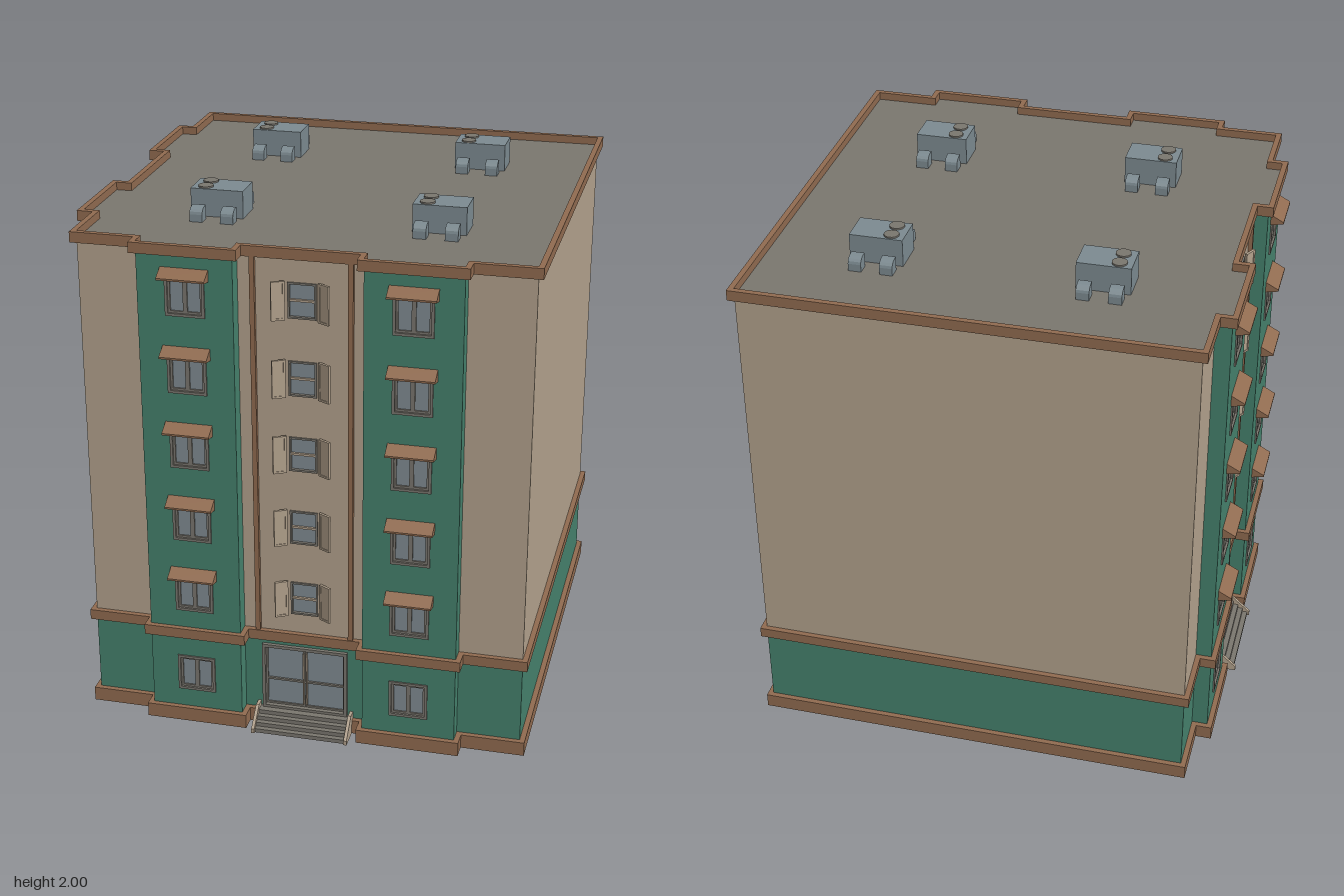
import * as THREE from 'three';

const mat = (name, color, side = THREE.FrontSide) => {
  const m = new THREE.MeshStandardMaterial({ color, side });
  m.name = name;
  return m;
};
const GREEN = mat('green paint', 0x45806c, THREE.DoubleSide);
const BEIGE = mat('beige plaster', 0xb2a18c, THREE.DoubleSide);
const BROWN = mat('brown trim', 0x906b50);
const GREY = mat('warm grey', 0x7a766e, THREE.DoubleSide);
const GLASS = mat('glass', 0x808b92, THREE.DoubleSide);
const METAL = mat('blue grey metal', 0x7c8a90);

function add(parent, name, geo, material, x = 0, y = 0, z = 0) {
  const m = new THREE.Mesh(geo, material);
  m.name = name;
  m.position.set(x, y, z);
  parent.add(m);
  return m;
}
const box = (parent, name, material, w, h, d, x, y, z) =>
  add(parent, name, new THREE.BoxGeometry(w, h, d), material, x, y, z);

const rect = (x0, x1, y0, y1, Type = THREE.Shape) =>
  new Type([[x0, y0], [x1, y0], [x1, y1], [x0, y1]].map(p => new THREE.Vector2(...p)));

// flat wall with rectangular openings [centreX, centreY, width, height]
function panel(parent, name, material, x0, x1, y0, y1, z, holes = []) {
  const s = rect(x0, x1, y0, y1);
  for (const [x, y, w, h] of holes)
    s.holes.push(rect(x - w / 2, x + w / 2, y - h / 2, y + h / 2, THREE.Path));
  return add(parent, name, new THREE.ShapeGeometry(s), material, 0, 0, z);
}

// rectangular frame of bar width t
function frame(parent, name, material, w, h, t, d, x, y, z) {
  const s = rect(-w / 2, w / 2, -h / 2, h / 2);
  s.holes.push(rect(t - w / 2, w / 2 - t, t - h / 2, h / 2 - t, THREE.Path));
  return add(parent, name, new THREE.ExtrudeGeometry(s, { depth: d, bevelEnabled: false }), material, x, y, z);
}

// side profile in (z, y), swept along x and centred
function prism(profile, width) {
  const s = new THREE.Shape(profile.map(p => new THREE.Vector2(...p)));
  return new THREE.ExtrudeGeometry(s, { depth: width, bevelEnabled: false })
    .rotateY(-Math.PI / 2).translate(width / 2, 0, 0);
}

const END = 0.825, BAY0 = 0.234, BAY1 = 0.586, BAY = 0.41, OUT = 0.06;
const SPLIT = 0.38, TOP = 1.89, WALL = 0.78, SHIFT = 0.045;
const FLOORS = [0, 1, 2, 3, 4].map(i => 0.545 + i * 0.295);

// footprint in (x, -z), counter-clockwise: two stepped facades and two plain sides
const STEPS = [[-END, 0], [-BAY1, 0], [-BAY1, OUT], [-BAY0, OUT], [-BAY0, 0],
  [BAY0, 0], [BAY0, OUT], [BAY1, OUT], [BAY1, 0], [END, 0]];
const FOOTPRINT = [
  ...STEPS.map(([u, d]) => new THREE.Vector2(u + SHIFT, -WALL - d)),
  new THREE.Vector2(0.87, 0.87),
  ...STEPS.slice(0, -1).map(([u, d]) => new THREE.Vector2(-WALL - d, SHIFT - u)),
].filter((p, i, a) => i === 0 || p.distanceTo(a[i - 1]) > 1e-4);

function outline(offset) {
  const n = FOOTPRINT.length;
  return FOOTPRINT.map((p, i) => {
    const a = p.clone().sub(FOOTPRINT[(i + n - 1) % n]).normalize();
    const b = FOOTPRINT[(i + 1) % n].clone().sub(p).normalize();
    return new THREE.Vector2(p.x + offset * (a.y + b.y), p.y - offset * (a.x + b.x));
  });
}

function trimRing(parent, name, y0, y1) {
  const s = new THREE.Shape(outline(0.02));
  s.holes.push(new THREE.Path(outline(-0.001)));
  const g = new THREE.ExtrudeGeometry(s, { depth: y1 - y0, bevelEnabled: false }).rotateX(-Math.PI / 2);
  add(parent, name, g, BROWN, 0, y0, 0);
}

function bayWindow(parent, x, y, z) {
  const g = new THREE.Group();
  g.name = 'bayWindow';
  g.position.set(x, y, z);
  parent.add(g);
  frame(g, 'windowFrame', GREY, 0.146, 0.146, 0.01, 0.02, 0, 0, -0.014);
  for (const s of [-1, 1]) frame(g, 'sash', GREY, 0.063, 0.126, 0.008, 0.01, s * 0.0315, 0, -0.012);
  panel(g, 'glass', GLASS, -0.065, 0.065, -0.065, 0.065, -0.008);
}

function shutterWindow(parent, y) {
  const g = new THREE.Group();
  g.name = 'shutterWindow';
  g.position.y = y;
  parent.add(g);
  frame(g, 'windowFrame', GREY, 0.104, 0.134, 0.007, 0.018, 0, 0, -0.012);
  panel(g, 'glass', GLASS, -0.047, 0.047, -0.062, 0.062, -0.006);
  box(g, 'middleRail', BEIGE, 0.092, 0.008, 0.01, 0, 0, -0.002);
  // shutters swung part way open
  for (const s of [-1, 1]) {
    const sh = new THREE.Group();
    sh.name = 'shutter';
    sh.position.set(s * 0.064, 0, 0.004);
    sh.rotation.y = -s * 0.5;
    g.add(sh);
    frame(sh, 'shutterFrame', BEIGE, 0.05, 0.145, 0.008, 0.01, s * 0.025, 0, 0);
    box(sh, 'shutterBoard', BEIGE, 0.036, 0.13, 0.005, s * 0.025, 0, 0.005);
  }
}

function entrance(parent) {
  const g = new THREE.Group();
  g.name = 'entrance';
  parent.add(g);
  frame(g, 'doorSurround', GREY, 0.33, 0.275, 0.012, 0.03, 0, 0.2, -0.016);
  panel(g, 'doorGlass', GLASS, -0.155, 0.155, 0.07, 0.33, -0.008);
  for (const s of [-1, 1]) {
    frame(g, 'doorLeaf', GREY, 0.152, 0.25, 0.007, 0.012, s * 0.077, 0.2, -0.014);
    box(g, 'doorHandle', BEIGE, 0.005, 0.22, 0.008, s * 0.006, 0.2, 0.002);
  }
  box(g, 'doorRail', GREY, 0.3, 0.008, 0.012, 0, 0.185, -0.006);
  for (let i = 0; i < 4; i++) {
    const d = 0.1 - i * 0.02;
    box(g, 'step', GREY, 0.35, 0.016, d, 0, 0.008 + i * 0.016, d / 2);
  }
  const side = prism([[0, 0], [0.108, 0], [0.108, 0.018], [0.035, 0.083], [0, 0.083]], 0.012);
  for (const s of [-1, 1]) add(g, 'stairSide', side, BEIGE, s * 0.18, 0, 0);
}

function facade(parent, name) {
  const g = new THREE.Group();
  g.name = name;
  parent.add(g);
  const awning = prism([[0, -0.022], [0.05, -0.012], [0.05, -0.005], [0, 0.022]], 0.176);
  for (const s of [-1, 1]) {
    const [a, b] = s < 0 ? [-END, -BAY1] : [BAY1, END];
    panel(g, 'lowerCornerWall', GREEN, a, b, 0, SPLIT, 0);
    panel(g, 'upperCornerWall', BEIGE, a, b, SPLIT, TOP, 0);
    // projecting bay with its cheeks
    const ys = [0.203, ...FLOORS.map(y => y + 0.0)];
    const [c, d] = s < 0 ? [-BAY1, -BAY0] : [BAY0, BAY1];
    panel(g, 'bayWall', GREEN, c, d, 0, TOP, OUT, ys.map(y => [s * BAY, y, 0.144, 0.144]));
    for (const x of [c, d])
      add(g, 'bayCheek', new THREE.PlaneGeometry(OUT, TOP), GREEN, x, TOP / 2, OUT / 2)
        .rotation.y = x === c ? -Math.PI / 2 : Math.PI / 2;
    ys.forEach(y => bayWindow(g, s * BAY, y, OUT));
    FLOORS.forEach(y => add(g, 'awning', awning, BROWN, s * BAY, y + 0.085, OUT));
    box(g, 'pilaster', BROWN, 0.018, TOP - 0.4, 0.016, s * 0.178, (TOP + 0.4) / 2, 0.008);
  }
  panel(g, 'entranceWall', GREEN, -BAY0, BAY0, 0, SPLIT, 0, [[0, 0.2, 0.328, 0.272]]);
  panel(g, 'middleWall', BEIGE, -BAY0, BAY0, SPLIT, TOP, 0, FLOORS.map(y => [0, y, 0.102, 0.132]));
  FLOORS.forEach(y => shutterWindow(g, y));
  entrance(g);
  return g;
}

function roofUnit(parent, x, z) {
  const g = new THREE.Group();
  g.name = 'roofUnit';
  g.position.set(x, TOP, z);
  parent.add(g);
  box(g, 'unitBody', METAL, 0.198, 0.104, 0.13, 0, 0.052, 0);
  for (const s of [-1, 1])
    add(g, 'fan', new THREE.CylinderGeometry(0.028, 0.028, 0.008, 16), GREY, -0.05, 0.106, s * 0.033);
  // hooded vents, rounded on the outer side
  const hood = [[0, 0], [0.047, 0], [0.047, 0.028]];
  for (let i = 1; i <= 4; i++) {
    const a = i * Math.PI / 8;
    hood.push([0.012 + 0.035 * Math.cos(a), 0.028 + 0.025 * Math.sin(a)]);
  }
  hood.push([0, 0.053]);
  const vent = prism(hood, 0.048);
  for (const s of [-1, 1]) for (const vx of [-0.058, 0.058])
    add(g, 'vent', vent, METAL, vx, 0, s * 0.093).rotation.y = s < 0 ? Math.PI : 0;
}

export function createModel() {
  const root = new THREE.Group();
  root.name = 'apartmentBlock';

  facade(root, 'frontFacade').position.set(SHIFT, 0, WALL);
  const side = facade(root, 'sideFacade');
  side.position.set(-WALL, 0, -SHIFT);
  side.rotation.y = -Math.PI / 2;

  // plain party walls
  for (const [name, x, z, r] of [['backWall', SHIFT, -0.87, Math.PI], ['plainSideWall', 0.87, -SHIFT, Math.PI / 2]]) {
    const g = new THREE.Group();
    g.name = name;
    g.position.set(x, 0, z);
    g.rotation.y = r;
    root.add(g);
    panel(g, 'lowerWall', GREEN, -END, END, 0, SPLIT, 0);
    panel(g, 'upperWall', BEIGE, -END, END, SPLIT, TOP, 0);
  }

  trimRing(root, 'baseTrim', 0, 0.055);
  trimRing(root, 'middleTrim', 0.36, 0.4);
  trimRing(root, 'parapet', 1.88, 1.92);

  const roof = new THREE.ShapeGeometry(new THREE.Shape(outline(0))).rotateX(-Math.PI / 2);
  add(root, 'roof', roof, GREY, 0, TOP, 0);
  for (const x of [-0.367, 0.46]) for (const z of [-0.467, 0.362]) roofUnit(root, x, z);
  return root;
}
